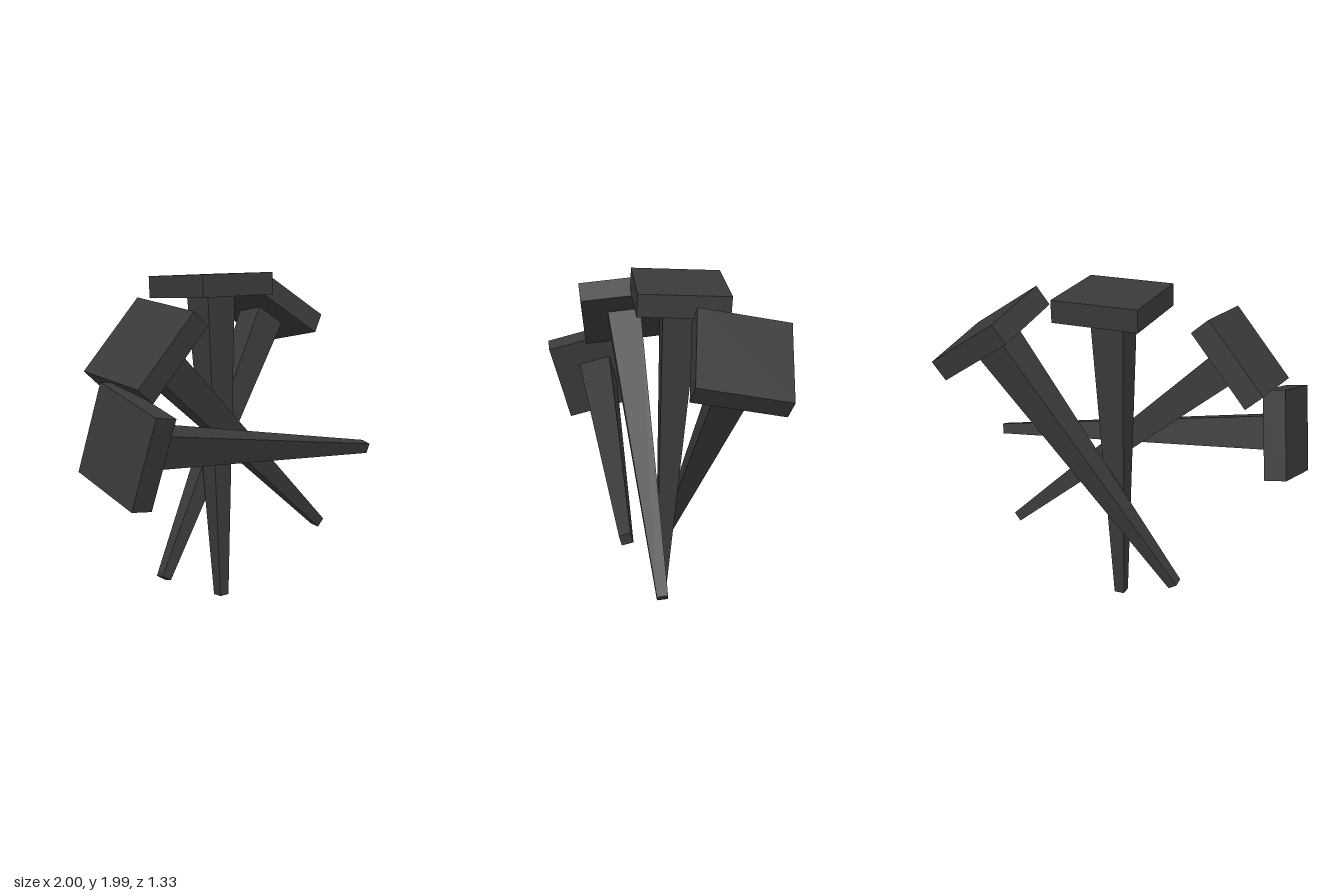
import * as THREE from 'three';

const HEAD_SIZE = 0.527, HEAD_THICK = 0.132;
const TIP_HALF = 0.032, NECK_HALF = 0.102;

const iron = new THREE.MeshStandardMaterial({ color: 0x3a3a3a, flatShading: true });
iron.name = 'dark iron';

// A nail from the tip centre to the head centre; side is the direction of one head edge
function createNail(name, tipPos, headPos, side) {
  const tip = new THREE.Vector3(...tipPos);
  const axis = new THREE.Vector3(...headPos).sub(tip);
  const length = axis.length();
  const shaftLength = length - HEAD_THICK / 2;
  const nail = new THREE.Group();
  nail.name = name;

  // square shaft, tapering to a blunt tip
  const shaftGeo = new THREE.CylinderGeometry(
    NECK_HALF * Math.SQRT2, TIP_HALF * Math.SQRT2, shaftLength, 4);
  shaftGeo.rotateY(Math.PI / 4).translate(0, shaftLength / 2, 0);
  const shaft = new THREE.Mesh(shaftGeo, iron);
  shaft.name = 'shaft';

  // flat square head
  const head = new THREE.Mesh(new THREE.BoxGeometry(HEAD_SIZE, HEAD_THICK, HEAD_SIZE), iron);
  head.name = 'head';
  head.position.y = length;
  nail.add(shaft, head);

  // local y runs along the nail, local x along the head edge
  const y = axis.normalize();
  const z = new THREE.Vector3(...side).cross(y).normalize();
  const x = new THREE.Vector3().crossVectors(y, z);
  nail.quaternion.setFromRotationMatrix(new THREE.Matrix4().makeBasis(x, y, z));
  nail.position.copy(tip);
  return nail;
}

export function createModel() {
  const model = new THREE.Group();
  model.name = 'nails';
  model.add(
    createNail('uprightNail', [0.033, 0.002, 0], [0.033, 1.912, -0.105], [1, 0, 0]),
    createNail('leftLeaningNail', [-0.357, 0.168, -0.07], [0.688, 1.728, -0.368], [0.44, -0.285, 0.06]),
    createNail('rightLeaningNail', [0.79, 0.358, 0.063], [-0.65, 1.6, 0.178], [0.345, 0.405, 0.035]),
    createNail('lyingNail', [0.995, 0.865, 0.275], [-0.897, 1.113, 0.343], [0.07, 0.515, 0.13])
  );
  return model;
}
